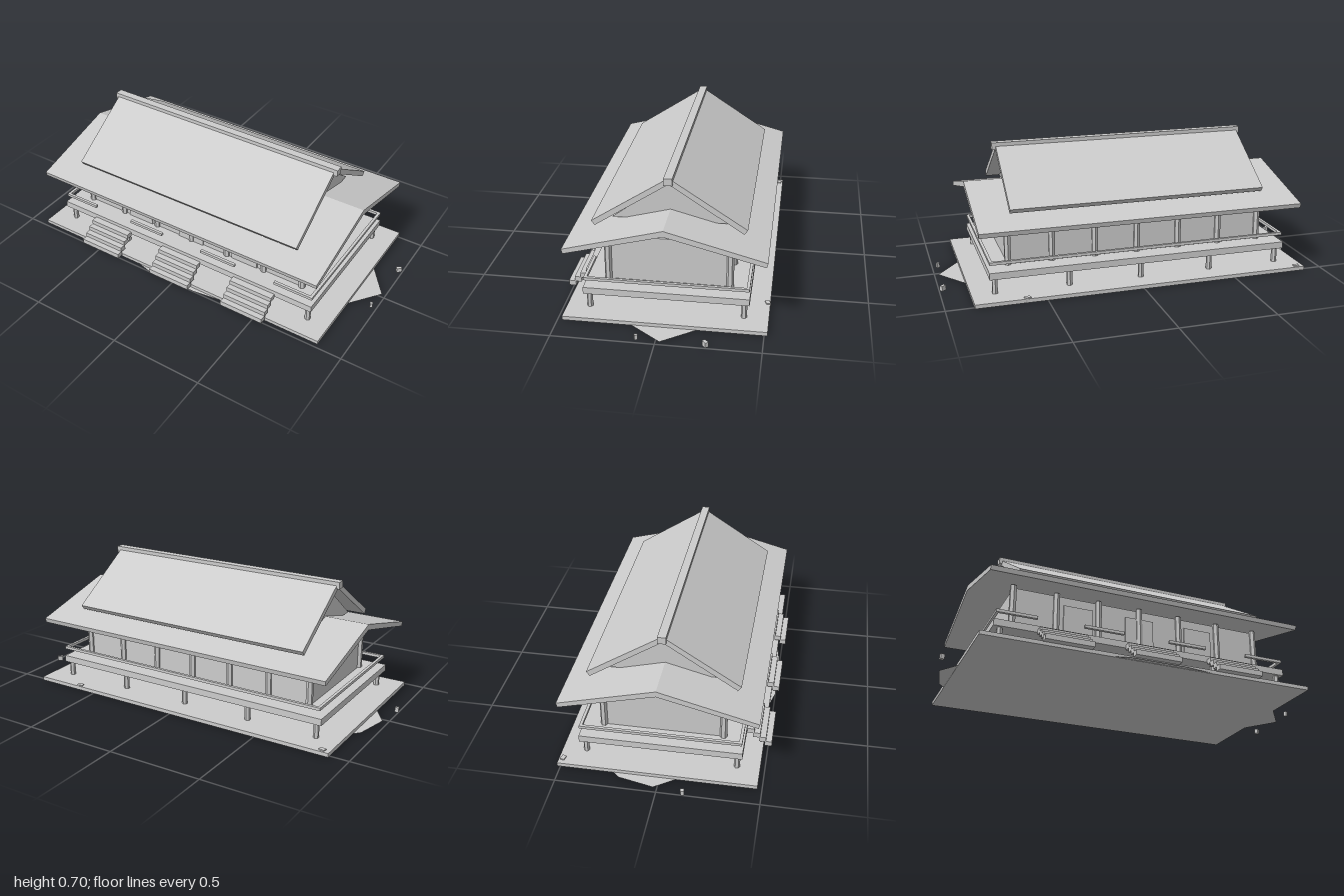
import * as THREE from 'three';

export function createModel() {
  const model = new THREE.Group();
  model.name = 'stiltHouse';
  const grey = new THREE.MeshStandardMaterial({ color: 0xcccccc, flatShading: true, side: THREE.DoubleSide });
  grey.name = 'plain grey';
  const CX = -0.02, CZ = -0.016; // centre of the house

  const add = (name, geometry) => {
    const mesh = new THREE.Mesh(geometry, grey);
    mesh.name = name;
    model.add(mesh);
    return mesh;
  };
  // Box given by its limits on each axis
  const box = (name, x0, x1, y0, y1, z0, z1) => {
    const mesh = add(name, new THREE.BoxGeometry(x1 - x0, y1 - y0, z1 - z0));
    mesh.position.set((x0 + x1) / 2, (y0 + y1) / 2, (z0 + z1) / 2);
    return mesh;
  };
  // Six-sided upright post
  const post = (name, x, z, r, y0, y1) => {
    add(name, new THREE.CylinderGeometry(r, r, y1 - y0, 6)).position.set(x, (y0 + y1) / 2, z);
  };
  // Cross-section in (distance from ridge line, y), drawn out along x
  const alongX = (name, points, x0, x1) => {
    const shape = new THREE.Shape(points.map(([d, y]) => new THREE.Vector2(-d, y)));
    const geometry = new THREE.ExtrudeGeometry(shape, { depth: x1 - x0, bevelEnabled: false });
    geometry.rotateY(Math.PI / 2);
    add(name, geometry).position.set(x0, 0, CZ);
  };

  // Ground slab and the flat patch of earth around it
  box('groundSlab', -0.9, 0.86, 0, 0.02, -0.516, 0.478);
  const patch = new THREE.Shape([
    [0.98, -0.02], [0.64, 0.43], [0.135, 0.5], [-0.155, 0.5], [-0.71, 0.36],
    [-0.97, -0.02], [-0.93, -0.2], [-0.7, -0.45], [0, -0.5], [0.66, -0.45],
  ].map(([x, z]) => new THREE.Vector2(x, -z)));
  add('earthPatch', new THREE.ShapeGeometry(patch).rotateX(-Math.PI / 2)).position.y = 0.002;

  // Small stones: x, z, width, depth, turn
  for (const [x, z, w, d, turn] of [
    [0.98, -0.235, 0.028, 0.018, 0.7], [0.97, 0.093, 0.014, 0.016, 0.4],
    [-0.99, 0.127, 0.02, 0.018, 0.2], [0.6, -0.503, 0.03, 0.022, 0.3],
    [-0.86, -0.495, 0.03, 0.022, -0.2],
  ]) {
    const stone = box('stone', x - w / 2, x + w / 2, 0, 0.026, z - d / 2, z + d / 2);
    stone.rotation.y = turn;
  }

  // Raised floor on stilts
  box('floorDeck', -0.815, 0.77, 0.1, 0.135, -0.422, 0.392);
  for (let i = 0; i < 5; i++) {
    for (const z of [0.364, -0.395]) post('stilt', -0.778 + i * 0.38, z, 0.015, 0.02, 0.1);
  }

  // Walls with posts in front and behind
  box('walls', -0.7, 0.66, 0.135, 0.372, -0.318, 0.285);
  for (let i = 0; i < 7; i++) {
    for (const z of [0.285, -0.318]) post('wallPost', -0.7 + i * 0.2267, z, 0.018, 0.135, 0.382);
  }

  // Doors and the stairs leading up to the deck
  for (const x of [-0.357, CX, 0.317]) {
    box('door', x - 0.078, x + 0.078, 0.135, 0.325, 0.285, 0.292);
  }
  for (const x of [-0.475, -0.016, 0.438]) {
    for (let i = 0; i < 4; i++) {
      const y = 0.015 + i * 0.0243, z = 0.483 - i * 0.0303;
      box('stairStep', x - 0.123, x + 0.123, y, y + 0.027, z, z + 0.036);
    }
  }

  // Railing, open at the stairs
  for (const [x0, x1] of [[-0.805, -0.597], [-0.355, -0.145], [0.105, 0.315], [0.55, 0.768]]) {
    box('frontRail', x0, x1, 0.175, 0.19, 0.372, 0.387);
  }
  box('backRail', -0.805, 0.768, 0.175, 0.19, -0.42, -0.405);
  box('rightRail', -0.805, -0.79, 0.175, 0.19, -0.42, 0.387);
  box('leftRail', 0.753, 0.768, 0.175, 0.19, -0.42, 0.387);

  // Lower roof, gable block, upper roof and ridge beam
  alongX('lowerRoof', [[0, 0.5], [0.488, 0.37], [0.482, 0.346], [0, 0.47], [-0.482, 0.346], [-0.488, 0.37]], -0.865, 0.825);
  alongX('gable', [[0, 0.657], [0.288, 0.44], [-0.288, 0.44]], -0.63, 0.59);
  alongX('upperRoof', [[0, 0.69], [0.38, 0.443], [0.363, 0.42], [0, 0.658], [-0.363, 0.42], [-0.38, 0.443]], -0.693, 0.653);
  box('ridgeBeam', -0.708, 0.673, 0.66, 0.696, CZ - 0.021, CZ + 0.021);

  return model;
}
